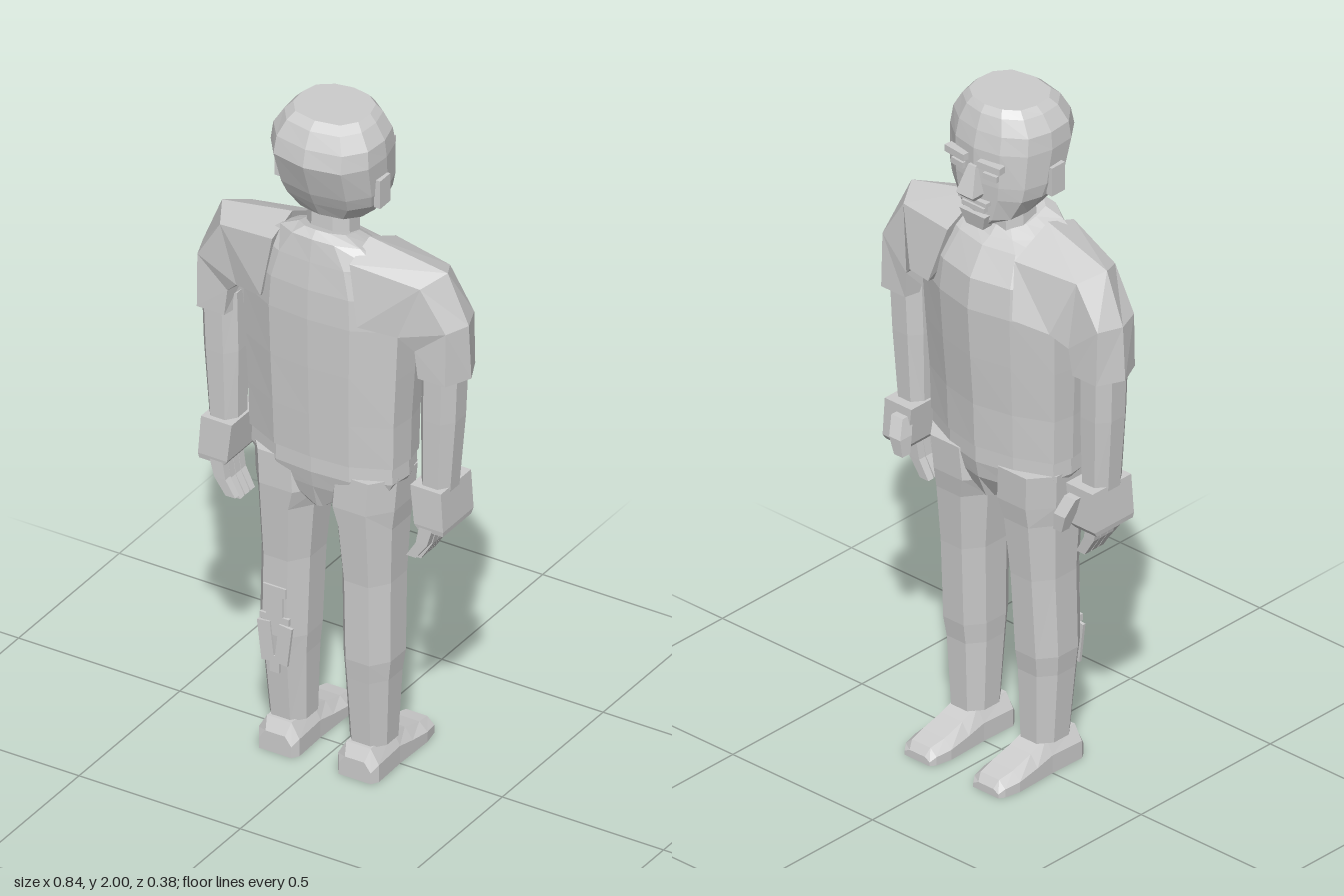
import * as THREE from 'three';

const grey = new THREE.MeshStandardMaterial({ color: 0xcccccc, flatShading: true });
grey.name = 'lightGrey';

// Skin a list of equal-length rings of [x, y, z] points and cap both ends, facing outwards
function loft(rings) {
  const n = rings[0].length;
  const tris = [];
  const mid = (r) => [0, 1, 2].map((k) => r.reduce((sum, p) => sum + p[k], 0) / n);
  const first = rings[0], last = rings[rings.length - 1];
  const a = mid(first), b = mid(last);
  for (let i = 0; i < n; i++) {
    const j = (i + 1) % n;
    for (let k = 0; k + 1 < rings.length; k++) {
      const lo = rings[k], hi = rings[k + 1];
      tris.push([lo[i], lo[j], hi[j]], [lo[i], hi[j], hi[i]]);
    }
    tris.push([a, first[j], first[i]], [b, last[i], last[j]]);
  }
  const v = (p) => new THREE.Vector3(...p);
  const volume = tris.reduce((s, t) => s + v(t[0]).dot(v(t[1]).cross(v(t[2]))), 0);
  if (volume < 0) tris.forEach((t) => t.reverse());
  const geo = new THREE.BufferGeometry();
  geo.setAttribute('position', new THREE.Float32BufferAttribute(tris.flat(2), 3));
  geo.computeVertexNormals();
  return geo;
}

// Half outlines: u = half width share, v = 0 at the face side (-z), 1 at the back (+z)
const full = (half) => [...half, ...half.slice(1, -1).reverse().map(([u, v]) => [-u, v])];
const BODY = full([[0, 0], [0.5, 0.09], [0.95, 0.27], [1, 0.5], [0.96, 0.78], [0.5, 0.97], [0, 1]]);
const HEAD = full([[0, 0], [0.5, 0.05], [0.88, 0.2], [1, 0.45], [0.96, 0.72], [0.66, 0.93], [0, 1]]);
const LIMB = full([[0.5, 0], [1, 0.28], [1, 0.72], [0.5, 1]]).concat([[-0.5, 1], [-0.5, 0]]);
LIMB.sort((p, q) => Math.atan2(p[1] - 0.5, p[0]) - Math.atan2(q[1] - 0.5, q[0]));
const BOX = [[-1, 0], [1, 0], [1, 1], [-1, 1]];

// Horizontal section from x0 to x1 and z0 to z1; tilt raises its back edge
const section = (shape, y, x0, x1, z0, z1, tilt = 0) => shape.map(([u, v]) =>
  [(x0 + x1) / 2 + u * (x1 - x0) / 2, y + tilt * v, z0 + v * (z1 - z0)]);
const stack = (shape, rows) => loft(rows.map((r) => section(shape, ...r)));
// Sections centred on x = 0: [y, halfWidth, z0, z1, tilt]
const centred = (shape, rows) => stack(shape, rows.map(([y, w, ...z]) => [y, -w, w, ...z]));

export function createModel() {
  const model = new THREE.Group();
  const add = (name, geo, parent = model) => {
    const mesh = new THREE.Mesh(geo, grey);
    mesh.name = name;
    parent.add(mesh);
    return mesh;
  };
  const box = (name, w, h, d, x, y, z, parent) => {
    const mesh = add(name, new THREE.BoxGeometry(w, h, d), parent);
    mesh.position.set(x, y, z);
    return mesh;
  };

  // Shirt body, with a loose hem and sloping collar
  add('shirt', centred(BODY, [
    [0.97, 0.232, -0.105, 0.155], [1.1, 0.235, -0.11, 0.16], [1.25, 0.243, -0.122, 0.165],
    [1.4, 0.25, -0.132, 0.168], [1.49, 0.24, -0.122, 0.165], [1.57, 0.2, -0.075, 0.155],
    [1.585, 0.13, -0.045, 0.145, 0.05], [1.61, 0.075, -0.02, 0.125, 0.045],
  ]));
  // Hips, closing to the crotch
  add('hips', centred(BODY, [
    [0.8, 0.03, -0.06, 0.12], [0.87, 0.2, -0.09, 0.14], [0.92, 0.228, -0.1, 0.15], [0.985, 0.225, -0.1, 0.148],
  ]));
  add('neck', centred(LIMB, [[1.56, 0.07, -0.02, 0.1], [1.75, 0.062, -0.02, 0.09]]));

  // Head: chin, cheeks, skull and flat crown
  const head = new THREE.Group();
  head.name = 'head';
  model.add(head);
  add('skull', centred(HEAD, [
    [1.645, 0.055, -0.095, 0.02, 0.06], [1.67, 0.1, -0.102, 0.11, 0.025], [1.74, 0.142, -0.105, 0.135],
    [1.78, 0.152, -0.108, 0.155], [1.88, 0.158, -0.108, 0.19], [1.93, 0.153, -0.096, 0.178],
    [1.975, 0.125, -0.08, 0.155], [1.995, 0.105, -0.065, 0.13],
  ]), head);
  add('nose', centred(BOX, [
    [1.735, 0.022, -0.13, -0.09], [1.75, 0.03, -0.145, -0.09], [1.83, 0.013, -0.115, -0.09],
  ]), head);
  box('mouth', 0.08, 0.014, 0.02, 0, 1.703, -0.102, head);
  box('moustache', 0.1, 0.012, 0.02, 0, 1.724, -0.105, head);
  add('chinBeard', centred(BOX, [[1.64, 0.03, -0.105, -0.07], [1.685, 0.045, -0.115, -0.08]]), head);
  for (const s of [-1, 1]) {
    box('ear', 0.02, 0.085, 0.05, s * 0.154, 1.785, 0.043, head);
    box('brow', 0.075, 0.02, 0.025, s * 0.06, 1.845, -0.106, head).rotation.y = s * -0.1;
    box('eye', 0.045, 0.018, 0.012, s * 0.058, 1.812, -0.104, head).rotation.y = s * -0.1;
  }

  for (const s of [-1, 1]) {
    const side = new THREE.Group();
    side.name = s > 0 ? 'leftLimbs' : 'rightLimbs';
    model.add(side);
    const rows = (shape, list) => stack(shape, list.map(([y, a, b, ...z]) => [y, s * a, s * b, ...z]));

    // Sleeve runs out over the shoulder and down to an open-looking cuff
    add('sleeve', loft([
      [[0.12, 1.635, 0.05], [0.12, 1.57, -0.08], [0.15, 1.42, -0.122], [0.2, 1.37, 0.02], [0.15, 1.42, 0.16], [0.12, 1.6, 0.15]],
      [[0.35, 1.585, 0.03], [0.31, 1.56, -0.045], [0.25, 1.4, -0.085], [0.25, 1.375, 0.02], [0.25, 1.4, 0.12], [0.31, 1.56, 0.105]],
      [[0.412, 1.44, 0.025], [0.385, 1.44, -0.045], [0.29, 1.36, -0.055], [0.285, 1.37, 0.02], [0.29, 1.36, 0.1], [0.385, 1.44, 0.097]],
      [[0.42, 1.28, 0.025], [0.385, 1.28, -0.05], [0.3, 1.28, -0.05], [0.285, 1.28, 0.02], [0.3, 1.28, 0.1], [0.385, 1.28, 0.1]],
    ].map((ring) => ring.map(([x, y, z]) => [s * x, y, z]))), side);

    add('forearm', rows(LIMB, [
      [0.93, 0.285, 0.373, -0.02, 0.085], [1.15, 0.283, 0.39, -0.03, 0.09], [1.33, 0.287, 0.397, -0.035, 0.092],
    ]), side);

    // Hand with four curled fingers and a thumb
    add('palm', rows(BOX, [
      [0.815, 0.3, 0.378, -0.04, 0.1], [0.83, 0.29, 0.38, -0.05, 0.102], [0.945, 0.277, 0.372, -0.05, 0.1],
    ]), side);
    for (let i = 0; i < 4; i++) {
      const z = 0.003 + i * 0.026;
      const drop = i === 3 ? 0.015 : 0;
      add('finger', rows(BOX, [
        [0.71 + drop, 0.265, 0.295, z, z + 0.021], [0.765 + drop / 2, 0.295, 0.33, z - 0.003, z + 0.021],
        [0.825, 0.305, 0.345, z - 0.005, z + 0.02],
      ]), side);
    }
    add('thumb', rows(BOX, [
      [0.82, 0.27, 0.3, -0.092, -0.062], [0.87, 0.275, 0.315, -0.095, -0.05], [0.92, 0.29, 0.33, -0.07, -0.03],
    ]), side);

    // Trouser leg
    add('trouserLeg', rows(LIMB, [
      [0.09, 0.067, 0.182, -0.03, 0.1], [0.3, 0.06, 0.195, -0.038, 0.12], [0.36, 0.056, 0.202, -0.047, 0.126],
      [0.6, 0.05, 0.2, -0.06, 0.125], [0.77, 0.035, 0.207, -0.075, 0.138], [0.83, 0.012, 0.215, -0.085, 0.143],
      [0.93, 0.02, 0.222, -0.09, 0.14],
    ]), side);

    // Shoe, skinned from heel to toe: [z, half width, height]
    add('shoe', loft([
      [0.13, 0.05, 0.06], [0.11, 0.063, 0.095], [0.0, 0.06, 0.098], [-0.06, 0.062, 0.075],
      [-0.13, 0.064, 0.055], [-0.178, 0.055, 0.045], [-0.194, 0.045, 0.022],
    ].map(([z, w, h]) => [[-w, 0], [w, 0], [w, h * 0.55], [w * 0.6, h], [-w * 0.6, h], [-w, h * 0.55]]
      .map(([x, y]) => [s * 0.123 + x, y, z]))), side);
  }

  // Small abstract patch of thin plates on the right calf
  const patch = new THREE.Group();
  patch.name = 'calfPatch';
  model.add(patch);
  for (const [w, h, x, y, turn] of [
    [0.07, 0.03, 0, 0.5, 0], [0.05, 0.06, 0, 0.455, 0], [0.09, 0.02, 0, 0.415, 0],
    [0.04, 0.12, -0.027, 0.34, 0.12], [0.04, 0.12, 0.027, 0.34, -0.12], [0.03, 0.05, 0, 0.275, 0],
  ]) box('patchPlate', w, h, 0.009, x - 0.125, y, 0.127, patch).rotation.z = turn;

  return model;
}
